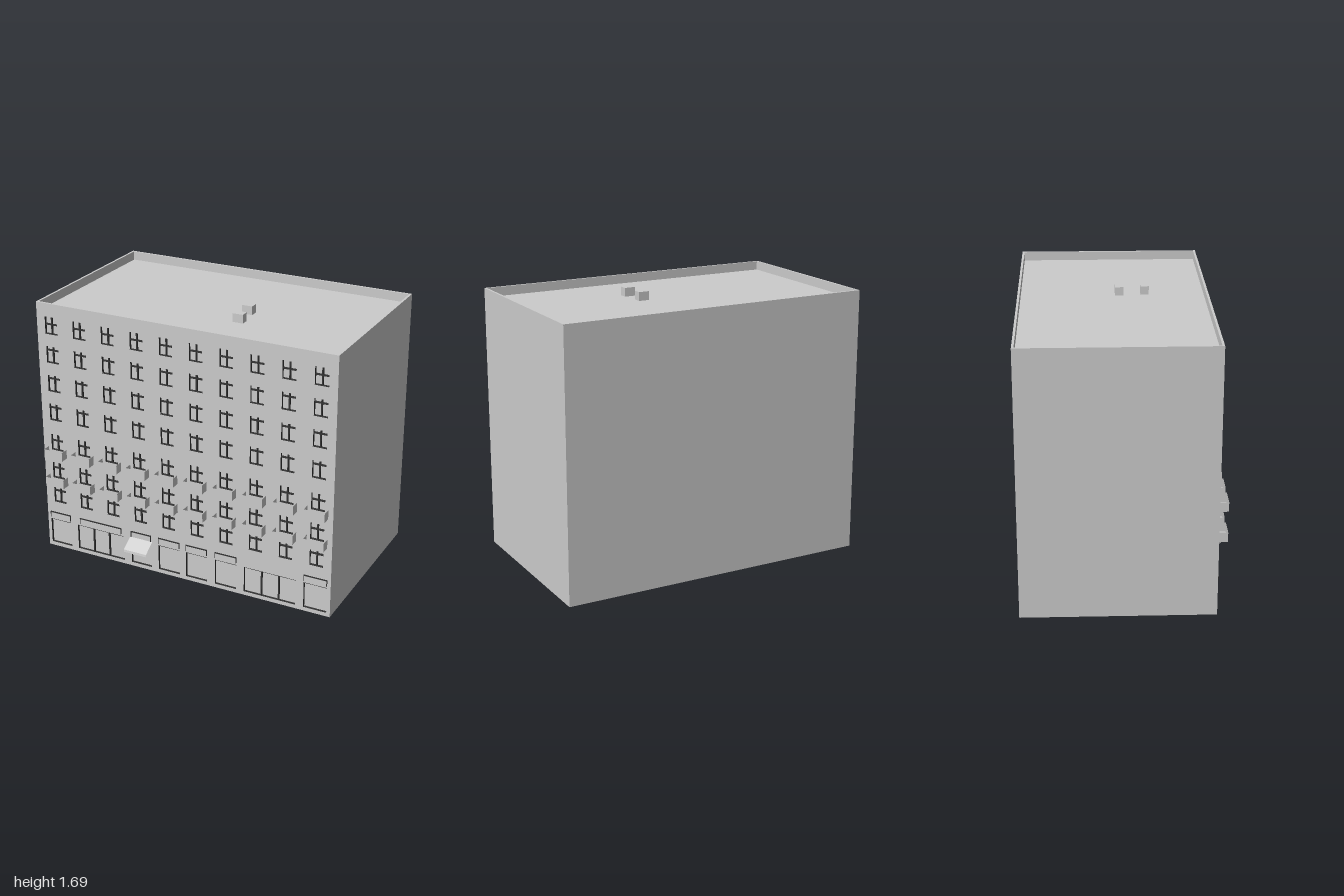
import * as THREE from 'three';

const FRONT = 0.545, BACK = -0.63, TOP = 1.687, ROOF = 1.63;
const RIM = 0.014, RECESS = 0.018;

export function createModel() {
  const model = new THREE.Group();
  const concrete = new THREE.MeshStandardMaterial({ color: 0xcccccc, side: THREE.DoubleSide });
  concrete.name = 'concrete grey';
  const dark = new THREE.MeshStandardMaterial({ color: 0x333333, side: THREE.DoubleSide });
  dark.name = 'dark frame';

  const add = (name, geometry, parent = model, material = concrete) => {
    const mesh = new THREE.Mesh(geometry, material);
    mesh.name = name;
    parent.add(mesh);
  };

  // Box between two corners, keeping only the listed sides
  // (0 +x, 1 -x, 2 +y, 3 -y, 4 +z, 5 -z)
  const ALL = [0, 1, 2, 3, 4, 5];
  const box = (name, x0, x1, y0, y1, z0, z1, sides = ALL, parent = model, material = concrete) => {
    const g = new THREE.BoxGeometry(x1 - x0, y1 - y0, z1 - z0);
    const index = Array.from(g.index.array);
    g.setIndex(sides.flatMap((s) => index.slice(s * 6, s * 6 + 6)));
    g.clearGroups();
    g.translate((x0 + x1) / 2, (y0 + y1) / 2, (z0 + z1) / 2);
    add(name, g, parent, material);
  };

  const group = (name) => {
    const g = new THREE.Group();
    g.name = name;
    model.add(g);
    return g;
  };

  const rect = (Type, x0, x1, y0, y1) => new Type([
    new THREE.Vector2(x0, y0), new THREE.Vector2(x1, y0),
    new THREE.Vector2(x1, y1), new THREE.Vector2(x0, y1),
  ]);

  // Hollow shell, open underneath, with a sunken roof behind a parapet
  box('sideAndBackWalls', -1, 1, 0, TOP, BACK, FRONT, [0, 1, 5]);
  box('parapetInside', -1 + RIM, 1 - RIM, ROOF, TOP, BACK + RIM, FRONT - RIM, [0, 1, 3, 4, 5]);
  const cap = rect(THREE.Shape, -1, 1, -FRONT, -BACK);
  cap.holes.push(rect(THREE.Path, -1 + RIM, 1 - RIM, -FRONT + RIM, -BACK - RIM));
  add('parapetCap', new THREE.ShapeGeometry(cap).rotateX(-Math.PI / 2).translate(0, TOP, 0));

  // Front wall, pierced below by every opening; dark reveals around grey panes
  const facade = rect(THREE.Shape, -1, 1, 0, TOP);
  const opening = (name, x0, x1, y0, y1, parent) => {
    facade.holes.push(rect(THREE.Path, x0, x1, y0, y1));
    box(name + 'Pane', x0, x1, y0, y1, FRONT - RECESS, FRONT, [5], parent);
    box(name + 'Reveal', x0, x1, y0, y1, FRONT - RECESS, FRONT, [0, 1, 2, 3], parent, dark);
  };
  const bar = (name, x0, x1, y0, y1, parent) =>
    box(name, x0, x1, y0, y1, FRONT - RECESS, FRONT - 0.006, [0, 1, 2, 3, 4], parent, dark);

  // Windows: [bottom, top, crossbar height] for each floor
  const floors = [
    [1.49, 1.6, 1.55], [1.3, 1.407, 1.38], [1.107, 1.215, 1.19], [0.91, 1.02, 0.993],
    [0.703, 0.81, 0.765], [0.505, 0.613, 0.572], [0.33, 0.437, 0.407],
  ];
  const windows = group('windows');
  const balconies = group('balconies');
  for (let i = 0; i < 10; i++) {
    const x = -0.898 + 0.2 * i, left = x - 0.044, right = x + 0.044;
    for (const [y0, y1, y] of floors) {
      opening('window', left, right, y0, y1, windows);
      bar('windowMullion', x - 0.004, x + 0.004, y0, y1, windows);
      bar('windowCrossbar', left, right, y - 0.004, y + 0.004, windows);
      box('windowSill', left, right, y0 - 0.001, y0 + 0.001, FRONT - 0.004, FRONT + 0.003, ALL, windows, dark);
    }
    // Thin balcony troughs, open at the top
    for (const y of [0.66, 0.465]) {
      box('balcony', x - 0.066, x + 0.066, y, y + 0.06, FRONT, 0.6, [0, 1, 3, 4], balconies);
    }
  }

  // Shop fronts: [left, right, pane count, sign inset or null]
  const shops = [
    [-0.977, -0.825, 1, 0], [-0.773, -0.425, 3, 0.02], [-0.373, -0.227, 1, 0], [-0.175, -0.024, 1, 0],
    [0.022, 0.17, 1, 0], [0.225, 0.373, 1, 0], [0.425, 0.773, 3, null], [0.825, 0.977, 1, 0],
  ];
  const shopFronts = group('shopFronts');
  for (const [x0, x1, panes, inset] of shops) {
    opening('shop', x0, x1, 0.025, 0.197, shopFronts);
    bar('shopTopRail', x0, x1, 0.19, 0.197, shopFronts);
    for (let p = 1; p < panes; p++) {
      const x = x0 + ((x1 - x0) * p) / panes;
      bar('shopMullion', x - 0.004, x + 0.004, 0.025, 0.19, shopFronts);
    }
    // Sign board with a dark border along its top and ends
    if (inset !== null) {
      const a = x0 + inset, b = x1 - inset, z = FRONT + 0.006;
      box('shopSignBoard', a, b, 0.21, 0.246, FRONT, FRONT + 0.004, [3, 4], shopFronts);
      box('shopSignTop', a, b, 0.245, 0.251, FRONT, z, ALL, shopFronts, dark);
      box('shopSignEnd', a, a + 0.004, 0.21, 0.245, FRONT, z, ALL, shopFronts, dark);
      box('shopSignEnd', b - 0.004, b, 0.21, 0.245, FRONT, z, ALL, shopFronts, dark);
    }
  }
  add('frontWall', new THREE.ShapeGeometry(facade).translate(0, 0, FRONT));

  // Sheet awning: a sloped cover and a short hanging edge
  const awningSheet = (name, ya, za, yb, zb) => {
    const g = new THREE.PlaneGeometry(0.16, 1);
    const p = g.attributes.position;
    for (let i = 0; i < p.count; i++) {
      const upper = p.getY(i) > 0;
      p.setXYZ(i, p.getX(i) - 0.3, upper ? ya : yb, upper ? za : zb);
    }
    g.computeVertexNormals();
    add(name, g);
  };
  awningSheet('awningCover', 0.207, FRONT, 0.155, 0.627);
  awningSheet('awningEdge', 0.155, 0.627, 0.14, 0.63);

  // Roof vents
  for (const [x, z] of [[0.181, 0], [0.197, 0.16]]) {
    box('roofVent', x - 0.035, x + 0.035, ROOF, ROOF + 0.055, z - 0.026, z + 0.026, [0, 1, 2, 4, 5]);
  }
  return model;
}
